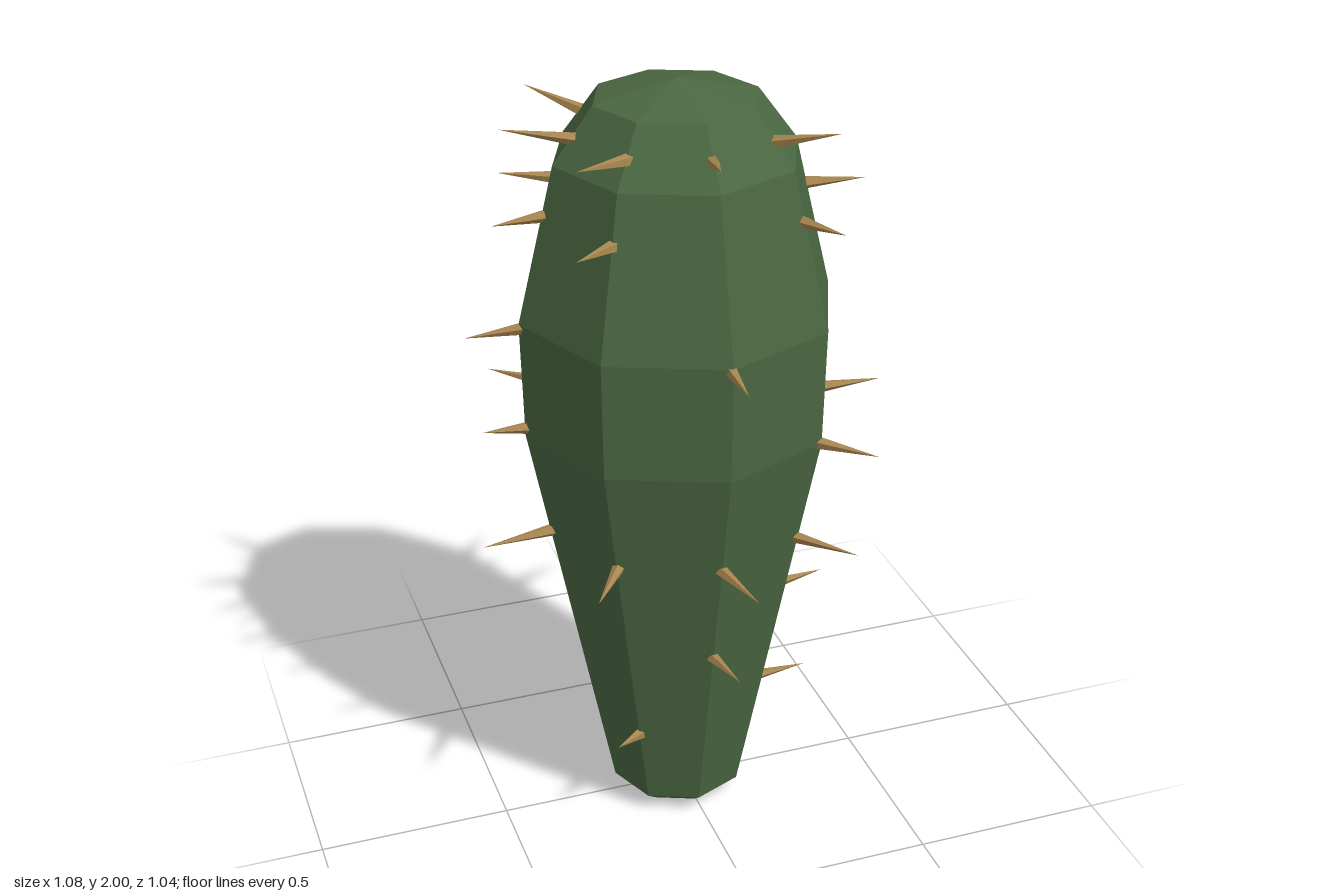
import * as THREE from 'three';

const CX = -0.013; // the trunk axis sits slightly off centre because the spines stick out unevenly

// [radius, height] from bottom to top
const PROFILE = [[0, 0], [0.135, 0.015], [0.178, 0.05], [0.393, 1.13], [0.4, 1.43], [0.305, 1.82], [0.205, 1.955], [0, 2]];

function radiusAt(y) {
  for (let i = 2; i < PROFILE.length; i++) {
    const [r0, y0] = PROFILE[i - 1], [r1, y1] = PROFILE[i];
    if (y <= y1) return r0 + (r1 - r0) * (y - y0) / (y1 - y0);
  }
  return 0;
}

// Spines per rib: azimuth in eighths of a turn from +z towards +x, then [root height, tip x, y, z]
const RIBS = [
  [0, [[0.56, 0.01, 0.57, 0.41], [0.85, 0.02, 0.855, 0.505], [1.42, -0.02, 1.42, 0.52], [1.88, -0.05, 1.92, 0.405]]],
  [1, [[0.85, 0.33, 0.855, 0.38], [1.13, 0.37, 1.13, 0.39], [1.7, 0.28, 1.7, 0.345], [1.88, 0.28, 1.93, 0.3]]],
  [2, [[0.28, 0.355, 0.288, 0], [0.565, 0.41, 0.562, -0.03], [1.135, 0.54, 1.135, 0.005], [1.7, 0.465, 1.705, 0.03]]],
  [3, [[0.56, 0.3, 0.575, -0.3], [1.13, 0.42, 1.135, -0.325], [1.42, 0.355, 1.43, -0.36]]],
  [4, [[0.565, 0.035, 0.57, -0.415], [0.85, 0.015, 0.885, -0.51], [1.43, -0.065, 1.43, -0.52]]],
  [5, [[0.28, -0.2, 0.3, -0.265], [0.85, -0.3, 0.86, -0.3], [1.13, -0.4, 1.13, -0.39], [1.7, -0.38, 1.71, -0.28], [1.88, -0.3, 1.92, -0.3]]],
  [6, [[0.85, -0.535, 0.85, 0.03], [1.15, -0.515, 1.155, 0], [1.42, -0.54, 1.4, -0.03], [1.7, -0.47, 1.69, 0], [1.88, -0.44, 1.92, -0.01]]],
  [7, [[0.28, -0.25, 0.3, 0.22], [0.85, -0.34, 0.85, 0.375], [1.7, -0.35, 1.7, 0.29], [1.88, -0.34, 1.905, 0.27]]],
];

export function createModel() {
  const model = new THREE.Group();
  model.name = 'cactus';
  const green = new THREE.MeshStandardMaterial({ color: 0x4a6741, flatShading: true });
  const tan = new THREE.MeshStandardMaterial({ color: 0xa88650, flatShading: true });

  // Eight-sided trunk
  const trunk = new THREE.Mesh(new THREE.LatheGeometry(PROFILE.map(([r, y]) => new THREE.Vector2(r, y)), 8), green);
  trunk.name = 'trunk';
  trunk.position.x = CX;
  model.add(trunk);

  // Spines rooted just inside the ribs
  const spines = new THREE.Group();
  spines.name = 'spines';
  const up = new THREE.Vector3(0, 1, 0);
  for (const [rib, list] of RIBS) {
    const a = rib * Math.PI / 4;
    for (const [y, ...tipPos] of list) {
      const r = radiusAt(y) - 0.015;
      const root = new THREE.Vector3(CX + r * Math.sin(a), y, r * Math.cos(a));
      const tip = new THREE.Vector3(...tipPos);
      const dir = tip.clone().sub(root);
      const length = dir.length();
      const spine = new THREE.Mesh(new THREE.ConeGeometry(0.017, length, 5), tan);
      spine.name = 'spine';
      spine.position.copy(root).lerp(tip, 0.5);
      spine.quaternion.setFromUnitVectors(up, dir.normalize());
      spines.add(spine);
    }
  }
  model.add(spines);
  return model;
}
